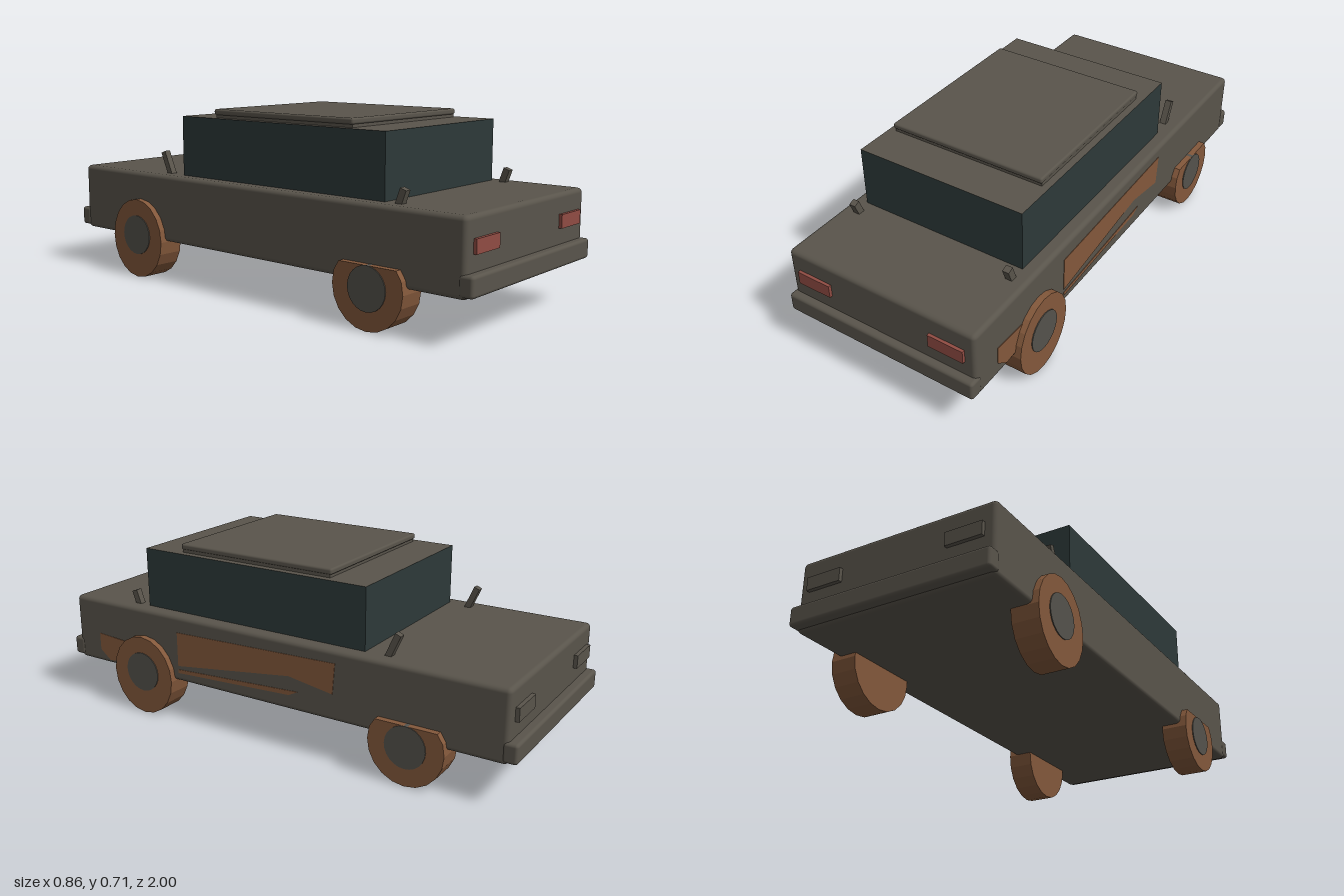
import * as THREE from 'three';
import { RoundedBoxGeometry } from 'three/addons/geometries/RoundedBoxGeometry.js';

const mat = (name, color) => {
  const m = new THREE.MeshStandardMaterial({ color });
  m.name = name;
  return m;
};

export function createModel() {
  const car = new THREE.Group();
  car.name = 'car';
  const paint = mat('greyPaint', 0x59544b);
  const glass = mat('darkGlass', 0x2d3939);
  const rust = mat('rustBrown', 0x83583b);
  const red = mat('lampRed', 0x904c43);
  const hubGrey = mat('hubGrey', 0x54524c);

  const add = (name, geometry, material, x = 0, y = 0, z = 0) => {
    const mesh = new THREE.Mesh(geometry, material);
    mesh.name = name;
    mesh.position.set(x, y, z);
    car.add(mesh);
    return mesh;
  };
  // Box given by its lower and upper corners
  const block = (name, lo, hi, material, radius = 0) => {
    const s = hi.map((v, i) => v - lo[i]);
    const g = radius ? new RoundedBoxGeometry(...s, 2, radius) : new THREE.BoxGeometry(...s);
    return add(name, g, material, ...hi.map((v, i) => (v + lo[i]) / 2));
  };

  // Body and bumpers
  block('body', [-0.4, 0.165, -0.965], [0.4, 0.437, 0.97], paint, 0.018);
  block('frontBumper', [-0.403, 0.175, 0.945], [0.403, 0.25, 1], paint, 0.012);
  block('rearBumper', [-0.403, 0.175, -1], [0.403, 0.25, -0.945], paint, 0.012);

  // Cabin: glass sides under a painted top
  block('cabin', [-0.346, 0.43, -0.392], [0.346, 0.675, 0.614],
    [glass, glass, paint, paint, glass, glass]);

  // Two-step roof panel
  block('roofBase', [-0.318, 0.67, -0.228], [0.318, 0.688, 0.45], paint);
  block('roofPanel', [-0.324, 0.686, -0.235], [0.321, 0.709, 0.456], paint, 0.008);

  // Wheel outline in the (z, y) plane, cut off flat at the given height
  const wheelOutline = (cy, ry, cut) => {
    const points = [];
    for (let i = 0; i < 20; i++) {
      const a = (i / 20) * Math.PI * 2;
      points.push(new THREE.Vector2(0.15 * Math.cos(a), Math.min(cy + ry * Math.sin(a), cut)));
    }
    return new THREE.Shape(points);
  };
  const makeWheel = (name, side, z, cut) => {
    const cy = cut ? 0.15 : 0.163;
    const tyre = new THREE.ExtrudeGeometry(wheelOutline(cy, cy, cut ? 0.23 : 1),
      { depth: 0.105, bevelEnabled: false });
    tyre.translate(0, 0, -0.0525).rotateY(Math.PI / 2);
    add(name + 'Tyre', tyre, rust, side * 0.3725, 0, z);
    const hub = new THREE.CylinderGeometry(0.081, 0.081, 0.1, 24).rotateZ(Math.PI / 2);
    add(name + 'Hub', hub, hubGrey, side * 0.3785, cut ? 0.15 : 0.178, z);
  };
  makeWheel('frontRightWheel', -1, 0.6, true);
  makeWheel('frontLeftWheel', 1, 0.6, false);
  makeWheel('rearRightWheel', -1, -0.6, false);
  makeWheel('rearLeftWheel', 1, -0.6, true);

  for (const side of [-1, 1]) {
    const label = side > 0 ? 'left' : 'right';
    // Lamps
    const x0 = side > 0 ? 0.214 : -0.357;
    block(label + 'FrontLamp', [x0, 0.31, 0.96], [x0 + 0.143, 0.361, 0.982], red);
    block(label + 'RearLamp', [x0, 0.31, -0.98], [x0 + 0.143, 0.361, -0.955], paint);
    // Small leaning posts on bonnet and boot
    const front = add(label + 'FrontPost', new THREE.BoxGeometry(0.026, 0.06, 0.026),
      paint, side * 0.336, 0.46, 0.68);
    front.rotation.x = 0.35;
    const rear = add(label + 'RearPost', new THREE.BoxGeometry(0.026, 0.1, 0.024),
      paint, side * 0.33, 0.476, -0.499);
    rear.rotation.x = -0.42;
  }

  // Rust patches on the left flank, outlined as (z, y)
  const patch = (name, outline) => {
    const shape = new THREE.Shape(outline.map(([z, y]) => new THREE.Vector2(-z, y)));
    const g = new THREE.ExtrudeGeometry(shape, { depth: 0.004, bevelEnabled: false });
    add(name, g.rotateY(Math.PI / 2), rust, 0.398);
  };
  patch('sideRust', [[-0.3, 0.39], [0.43, 0.37], [0.43, 0.23], [-0.1, 0.3], [-0.29, 0.27]]);
  patch('lowerSideRust', [[-0.14, 0.245], [0.43, 0.215], [0.43, 0.2], [-0.1, 0.225]]);
  patch('frontCornerRust', [[0.7, 0.28], [0.85, 0.29], [0.85, 0.22], [0.8, 0.18], [0.7, 0.19]]);

  return car;
}
